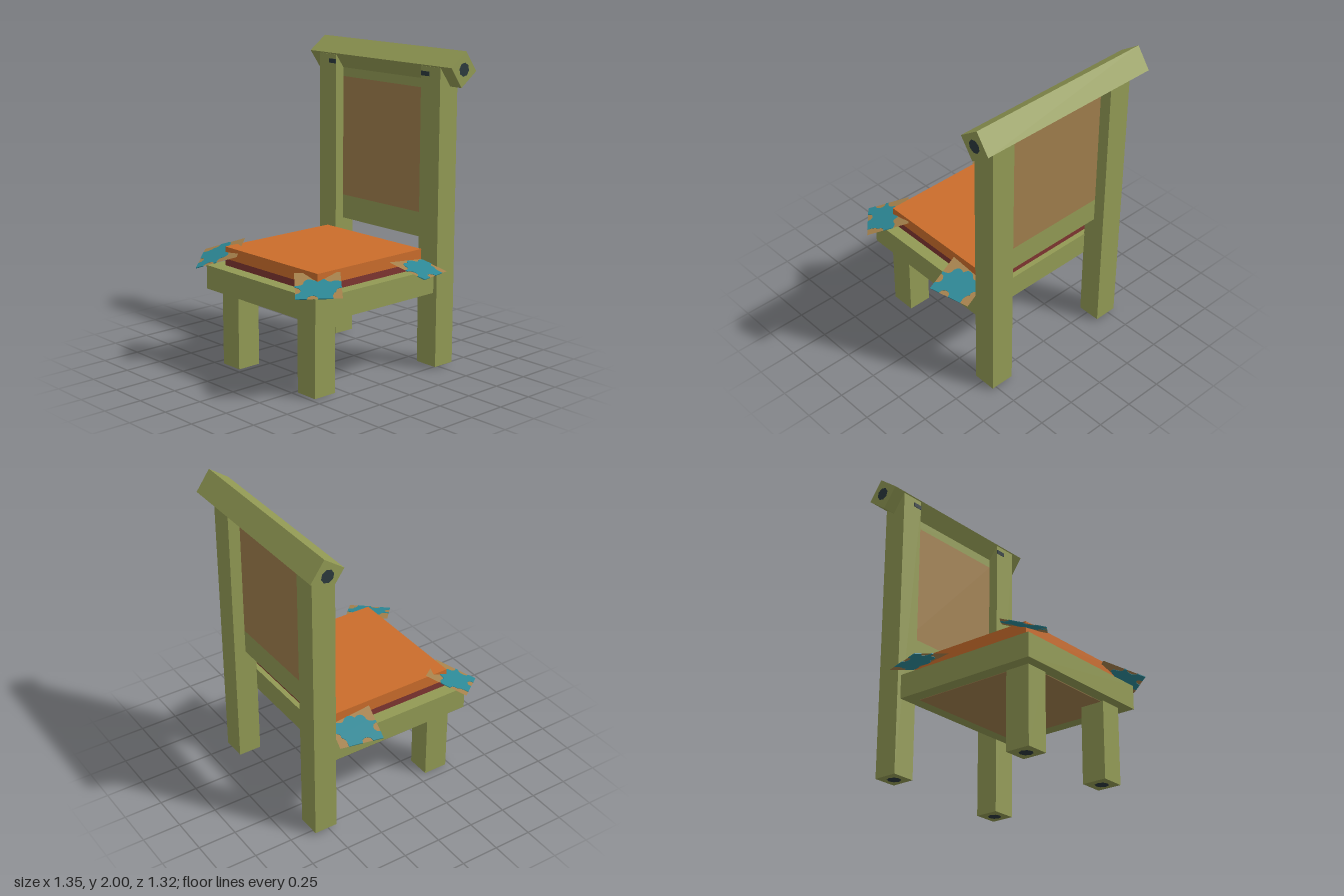
import * as THREE from 'three';

const mat = (name, color, side = THREE.FrontSide) => {
  const m = new THREE.MeshStandardMaterial({ color, side });
  m.name = name;
  return m;
};

export function createModel() {
  const green = mat('green wood', 0x929a54);
  const brown = mat('tan weave', 0x9f7e4c);
  const orange = mat('orange cushion', 0xcb6d2b);
  const red = mat('dark red underside', 0x7f3530);
  const teal = mat('teal print', 0x2c8896);
  const tan = mat('tan cloth', 0xa5814c, THREE.DoubleSide);
  const dark = mat('dark heartwood', 0x2c393d);

  const model = new THREE.Group();
  const add = (parent, name, geometry, material) => {
    const mesh = new THREE.Mesh(geometry, material);
    mesh.name = name;
    parent.add(mesh);
    return mesh;
  };
  // Box given by its minimum and maximum corners
  const box = (name, material, [x0, y0, z0], [x1, y1, z1]) => {
    const mesh = add(model, name, new THREE.BoxGeometry(x1 - x0, y1 - y0, z1 - z0), material);
    mesh.position.set((x0 + x1) / 2, (y0 + y1) / 2, (z0 + z1) / 2);
    return mesh;
  };
  const heartwood = () => new THREE.CircleGeometry(0.043, 8);

  // Posts and front legs, each with a dark spot on its underside
  const legs = [
    ['rightBackPost', -0.545, -0.39, -0.6, -0.447, 0.012, 1.9],
    ['leftBackPost', 0.375, 0.535, -0.6, -0.447, 0.012, 1.9],
    ['rightFrontLeg', -0.44, -0.285, 0.31, 0.472, 0, 0.5],
    ['leftFrontLeg', 0.275, 0.43, 0.31, 0.472, 0, 0.5],
  ];
  for (const [name, x0, x1, z0, z1, y0, y1] of legs) {
    box(name, green, [x0, y0, z0], [x1, y1, z1]);
    const spot = add(model, name + 'EndGrain', heartwood(), dark);
    spot.rotation.x = Math.PI / 2;
    spot.position.set((x0 + x1) / 2, y0 - 0.002, (z0 + z1) / 2);
  }

  // Small dark marks near the post tops
  box('rightPostMark', dark, [-0.455, 1.842, -0.448], [-0.39, 1.87, -0.444]);
  box('leftPostMark', dark, [0.375, 1.842, -0.448], [0.445, 1.87, -0.444]);

  // Tilted square top rail
  const rail = new THREE.Group();
  rail.name = 'topRail';
  rail.position.set(-0.003, 1.89, -0.554);
  rail.rotation.x = 0.62;
  model.add(rail);
  add(rail, 'railBeam', new THREE.BoxGeometry(1.262, 0.157, 0.157), green);
  for (const s of [-1, 1]) {
    const spot = add(rail, 'railEndGrain', heartwood(), dark);
    spot.rotation.y = s * Math.PI / 2;
    spot.position.x = s * 0.633;
  }

  // Thin back panel: green borders with a woven centre
  const panel = (name, m, y0, y1) => box(name, m, [-0.39, y0, -0.523], [0.375, y1, -0.513]);
  panel('backPanelLowerBorder', green, 0.808, 0.965);
  panel('backPanelWeave', brown, 0.965, 1.755);
  panel('backPanelUpperBorder', green, 1.755, 1.88);

  // Seat slab with woven underside
  box('seat', green, [-0.518, 0.492, -0.449], [0.508, 0.645, 0.535]);
  box('seatUnderside', brown, [-0.43, 0.489, -0.37], [0.42, 0.493, 0.455]);

  // Cushion
  box('cushionBase', red, [-0.435, 0.645, -0.415], [0.43, 0.688, 0.45]);
  box('cushion', orange, [-0.435, 0.688, -0.415], [0.43, 0.766, 0.45]);

  // Printed blob on the unit square; u = 0 is the inner edge, u = 1 the outer
  const print = new THREE.Shape();
  print.moveTo(0.38, 0);
  print.lineTo(0.6, 0);
  print.quadraticCurveTo(0.62, 0.15, 0.74, 0.12);
  print.quadraticCurveTo(0.8, 0.22, 1, 0.2);
  print.lineTo(1, 0.52);
  print.bezierCurveTo(0.84, 0.5, 0.84, 0.76, 1, 0.76);
  print.lineTo(1, 1);
  print.lineTo(0.82, 1);
  print.bezierCurveTo(0.8, 0.84, 0.58, 0.84, 0.56, 1);
  print.lineTo(0.5, 1);
  print.quadraticCurveTo(0.52, 0.8, 0.36, 0.8);
  print.quadraticCurveTo(0.2, 0.72, 0.32, 0.58);
  print.quadraticCurveTo(0.16, 0.48, 0.28, 0.34);
  print.quadraticCurveTo(0.42, 0.28, 0.34, 0.16);
  print.quadraticCurveTo(0.32, 0.06, 0.38, 0);

  const square = new THREE.Shape([[0, 0], [1, 0], [1, 1], [0, 1]].map(p => new THREE.Vector2(...p)));

  // Cloth flap spanned by an inner corner, an outer corner and the other inner corner
  const flap = (name, origin, outer, inner) => {
    const o = new THREE.Vector3(...origin);
    const u = new THREE.Vector3(...outer).sub(o);
    const v = new THREE.Vector3(...inner).sub(o);
    const n = u.clone().cross(v).normalize();
    const basis = new THREE.Matrix4().makeBasis(u, v, n).setPosition(o);
    const group = new THREE.Group();
    group.name = name;
    model.add(group);
    add(group, 'cloth', new THREE.ShapeGeometry(square).applyMatrix4(basis), tan);
    const blob = new THREE.ExtrudeGeometry(print, { depth: 0.005, bevelEnabled: false, curveSegments: 5 });
    blob.translate(0, 0, -0.0025).applyMatrix4(basis);
    add(group, 'clothPrint', blob, teal);
  };
  flap('rightFrontFlap', [-0.446, 0.79, 0.282], [-0.658, 0.705, 0.437], [-0.276, 0.735, 0.487]);
  flap('leftFrontFlap', [0.443, 0.75, 0.282], [0.645, 0.665, 0.448], [0.266, 0.745, 0.49]);
  for (const s of [-1, 1]) {
    flap(s < 0 ? 'rightBackFlap' : 'leftBackFlap',
      [s * 0.345, 0.725, -0.395], [s * 0.608, 0.65, -0.458], [s * 0.412, 0.735, -0.13]);
  }
  return model;
}
